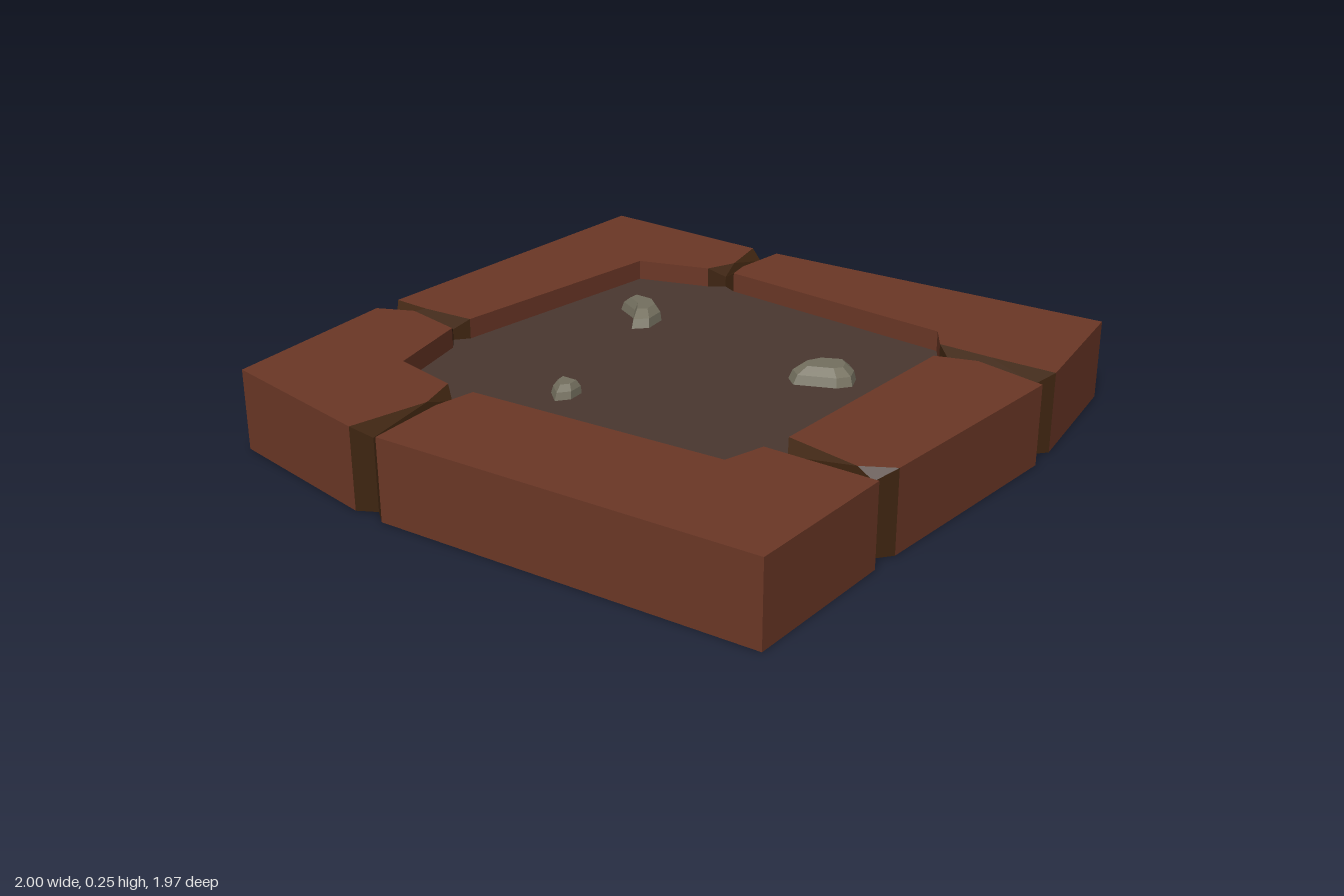
import * as THREE from 'three';

const TOP = 0.255, GROOVE = 0.225, FLOOR = 0.19;

const paint = (name, color) => {
  const m = new THREE.MeshStandardMaterial({ color, side: THREE.DoubleSide, flatShading: true });
  m.name = name;
  return m;
};

// Joints between bricks, clockwise from above. a: end of the previous brick,
// b: end of the next one, each [outer, middle, inner]; c: bottom of the groove [outer, inner].
// Corners give the brick that follows its [outer, inner] corner.
const JOINTS = [
  { name: 'left', a: [[-1, 0.27], [-0.885, 0.217], [-0.68, 0.26]], b: [[-1, 0.174], [-0.87, 0.18], [-0.69, 0.168]],
    c: [[-0.96, 0.22], [-0.725, 0.21]], corner: [[-0.987, -0.99], [-0.607, -0.607]] },
  { name: 'back', a: [[-0.37, -0.955], [-0.33, -0.78], [-0.37, -0.68]], b: [[-0.27, -0.955], [-0.286, -0.77], [-0.27, -0.69]],
    c: [[-0.32, -0.93], [-0.32, -0.715]], corner: [[0.928, -0.99], [0.553, -0.607]] },
  { name: 'rightBack', a: [[0.993, -0.51], [0.78, -0.51], [0.61, -0.516]], b: [[1, -0.405], [0.767, -0.46], [0.64, -0.42]],
    c: [[0.95, -0.46], [0.67, -0.47]] },
  { name: 'rightFront', a: [[0.944, 0.323], [0.85, 0.377], [0.61, 0.33]], b: [[0.94, 0.42], [0.77, 0.42], [0.59, 0.42]],
    c: [[0.9, 0.377], [0.64, 0.38]], corner: [[0.928, 0.928], [0.553, 0.548]] },
  { name: 'front', a: [[-0.28, 0.983], [-0.3, 0.73], [-0.28, 0.6]], b: [[-0.388, 0.976], [-0.335, 0.73], [-0.38, 0.596]],
    c: [[-0.33, 0.944], [-0.33, 0.634]], corner: [[-0.94, 0.875], [-0.607, 0.548]] },
];

const at = ([x, z], y) => [x, y, z];

// Collects flat faces into one mesh
function faces() {
  const pos = [];
  const self = {
    tri(p, q, r) { pos.push(...p, ...q, ...r); },
    quad(p, q, r, s) { self.tri(p, q, r); self.tri(p, r, s); },
    // Horizontal polygon facing up
    flat(points, y) {
      const v = points.map(([x, z]) => new THREE.Vector2(x, z));
      for (const [i, j, k] of THREE.ShapeUtils.triangulateShape(v, [])) {
        const clockwise = THREE.ShapeUtils.area([v[i], v[j], v[k]]) > 0;
        const t = clockwise ? [i, k, j] : [i, j, k];
        self.tri(...t.map(n => at(points[n], y)));
      }
    },
    // Upright strip along a path, with a top height for each point
    wall(path, low, high) {
      for (let i = 0; i + 1 < path.length; i++) {
        self.quad(at(path[i], low), at(path[i + 1], low), at(path[i + 1], high[i + 1]), at(path[i], high[i]));
      }
    },
    mesh(name, material) {
      const g = new THREE.BufferGeometry();
      g.setAttribute('position', new THREE.Float32BufferAttribute(pos, 3));
      g.computeVertexNormals();
      const m = new THREE.Mesh(g, material);
      m.name = name;
      return m;
    },
  };
  return self;
}

// A hollow brick running from one joint to the next
function brick(j, next, material) {
  const [co, ci] = (j.corner || [null, null]).map(p => (p ? [p] : []));
  const outer = [j.b[0], ...co, next.a[0]];
  const inner = [j.b[2], ...ci, next.a[2]];
  const high = outer.map(() => TOP);
  const f = faces();
  f.flat([...outer, next.a[1], ...[...inner].reverse(), j.b[1]], TOP);
  f.wall([...outer].reverse(), 0, high);
  f.wall(inner, FLOOR, high);
  return f.mesh(j.name + 'Brick', material);
}

// A pinched V groove, with notches in the outer and inner walls
function groove({ name, a, b, c }, material) {
  const f = faces();
  const [ao, am, ai] = a.map(p => at(p, TOP));
  const [bo, bm, bi] = b.map(p => at(p, TOP));
  const [o, i] = c.map(p => at(p, GROOVE));
  f.tri(ao, am, o); f.tri(am, i, o); f.tri(am, ai, i);
  f.tri(bo, o, bm); f.tri(bm, o, i); f.tri(bm, i, bi);
  const high = [TOP, GROOVE, TOP];
  f.wall([b[0], c[0], a[0]], 0, high);
  f.wall([a[2], c[1], b[2]], FLOOR, high);
  return f.mesh(name + 'Groove', material);
}

// A chipped stone: an outline on the floor narrowing to a flat top
function stone(outline, height, material) {
  const n = outline.length;
  const mid = [0, 1].map(k => outline.reduce((s, p) => s + p[k], 0) / n);
  const ring = (s, dz) => outline.map(p => [mid[0] + (p[0] - mid[0]) * s, mid[1] + (p[1] - mid[1]) * s + dz]);
  const levels = [[ring(1, 0), FLOOR], [ring(0.9, -0.005), FLOOR + height * 0.55], [ring(0.6, -0.01), FLOOR + height]];
  const f = faces();
  for (let l = 0; l < 2; l++) {
    const [low, y0] = levels[l], [up, y1] = levels[l + 1];
    for (let i = 0; i < n; i++) {
      const k = (i + 1) % n;
      f.quad(at(low[k], y0), at(low[i], y0), at(up[i], y1), at(up[k], y1));
    }
  }
  f.flat(levels[2][0], levels[2][1]);
  return f.mesh('stone', material);
}

export function createModel() {
  const model = new THREE.Group();
  model.name = 'brickFramedFloorTile';
  const brickRed = paint('brickRed', 0x6b3726);
  const darkMortar = paint('darkMortar', 0x3e2410);
  const earth = paint('earth', 0x4a3730);
  const stoneGrey = paint('stoneGrey', 0x74705f);

  // Frame of bricks and grooves; the floor fills its inner outline
  const floorOutline = [];
  JOINTS.forEach((j, i) => {
    const next = JOINTS[(i + 1) % JOINTS.length];
    model.add(brick(j, next, brickRed), groove(j, darkMortar));
    floorOutline.push(j.a[2], j.c[1], j.b[2]);
    if (j.corner) floorOutline.push(j.corner[1]);
  });
  const floor = faces();
  floor.flat(floorOutline, FLOOR);
  model.add(floor.mesh('floor', earth));

  // Loose stones
  model.add(
    stone([[-0.47, -0.38], [-0.365, -0.375], [-0.3, -0.32], [-0.29, -0.24], [-0.33, -0.2], [-0.385, -0.28], [-0.47, -0.325]], 0.05, stoneGrey),
    stone([[0.3, -0.18], [0.335, -0.25], [0.43, -0.295], [0.47, -0.26], [0.49, -0.205], [0.46, -0.165], [0.34, -0.115], [0.3, -0.15]], 0.05, stoneGrey),
    stone([[-0.21, 0.305], [-0.125, 0.305], [-0.12, 0.36], [-0.15, 0.398], [-0.2, 0.355]], 0.04, stoneGrey),
  );
  return model;
}
